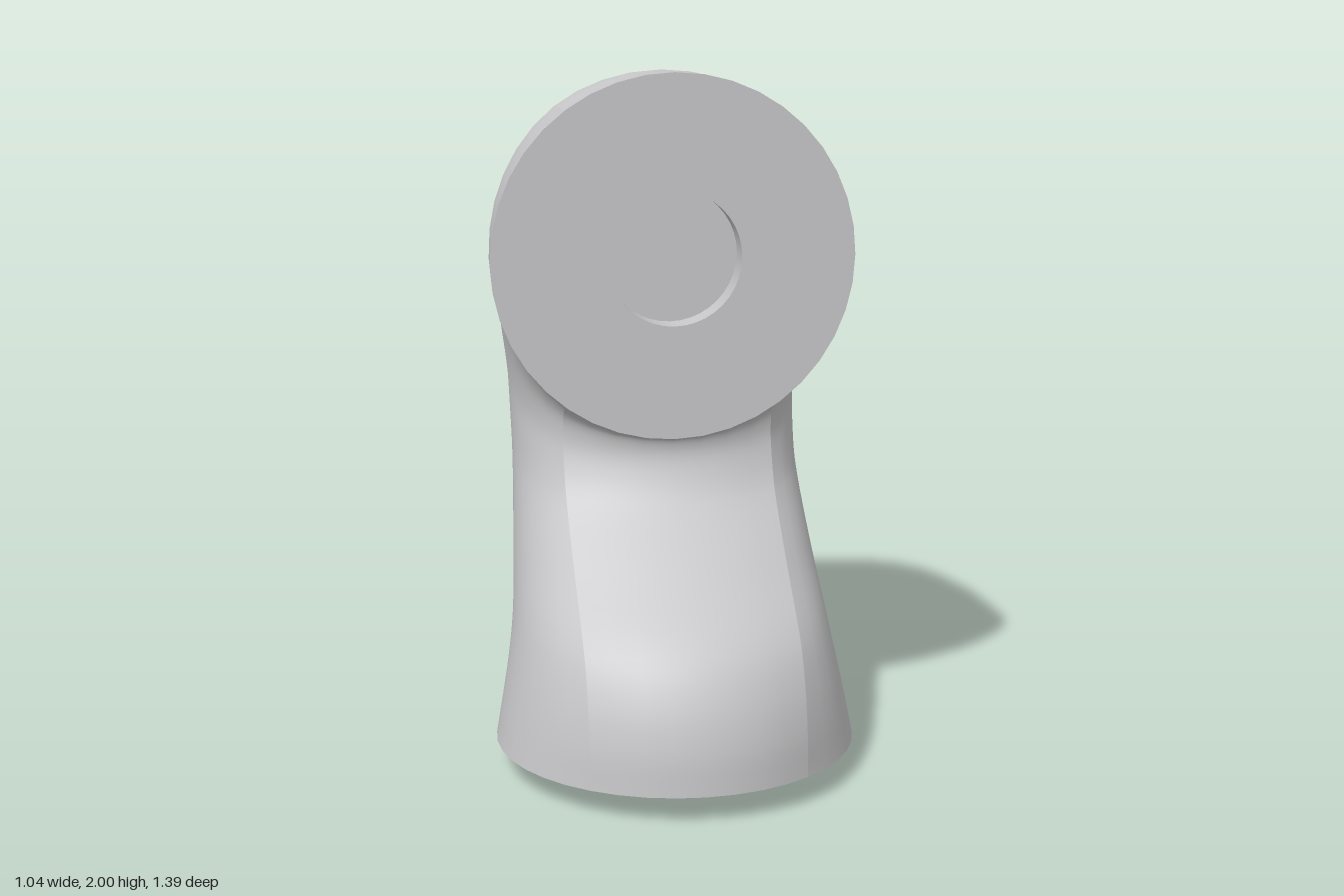
import * as THREE from 'three';

const R = 0.52, PEG = 0.193, Z = 0.18, BASE = 0.08, HEAD = 1.48;

// Stations along the bend: half width, outer (back) z, y, inner (front) z, y
const STATIONS = [
  [0.52, -0.34, 0.08, 0.70, 0.08],
  [0.495, -0.358, 0.22, 0.69, 0.20],
  [0.475, -0.38, 0.31, 0.656, 0.32],
  [0.457, -0.415, 0.42, 0.587, 0.435],
  [0.44, -0.485, 0.60, 0.386, 0.605],
  [0.425, -0.58, 0.86, 0.20, 0.774],
  [0.425, -0.635, 1.04, 0.153, 0.853],
  [0.43, -0.682, 1.25, 0.138, 0.91],
  [0.452, -0.675, 1.55, 0.146, 0.948],
  [0.475, -0.51, 1.81, 0.16, 0.957],
  [0.504, -0.2, 1.965, 0.17, 0.96],
  [0.52, Z, 2.0, Z, 0.96],
];

const outer = new THREE.CatmullRomCurve3(STATIONS.map(([w, z, y]) => new THREE.Vector3(w, y, z)));
const inner = new THREE.CatmullRomCurve3(STATIONS.map((s) => new THREE.Vector3(0, s[4], s[3])));

// Section half width: a circular band front and back, flattened flanks
const SEAM = Math.sin(Math.PI / 5);
function sideways(theta, width) {
  const s = Math.sin(theta), a = Math.abs(s);
  if (a <= SEAM + 1e-6) return R * s;
  return Math.sign(s) * (R * SEAM + (width - R * SEAM) * (a - SEAM) / (1 - SEAM));
}

// One lengthwise strip of the bent body, between two angles in degrees
function strip(from, to) {
  const rows = 55, cols = (to - from) / 9;
  const positions = [], index = [];
  for (let i = 0; i <= rows; i++) {
    const o = outer.getPoint(i / rows), n = inner.getPoint(i / rows);
    for (let j = 0; j <= cols; j++) {
      const theta = THREE.MathUtils.degToRad(from + (to - from) * j / cols);
      const k = (1 + Math.cos(theta)) / 2;
      positions.push(
        sideways(theta, o.x),
        THREE.MathUtils.lerp(n.y, o.y, k),
        THREE.MathUtils.lerp(n.z, o.z, k),
      );
      if (i < rows && j < cols) {
        const a = i * (cols + 1) + j, b = a + cols + 1;
        index.push(a, b, a + 1, b, b + 1, a + 1);
      }
    }
  }
  const geometry = new THREE.BufferGeometry();
  geometry.setAttribute('position', new THREE.Float32BufferAttribute(positions, 3));
  geometry.setIndex(index);
  geometry.computeVertexNormals();
  return geometry;
}

export function createModel() {
  const group = new THREE.Group();
  group.name = 'bentConnector';
  const grey = new THREE.MeshStandardMaterial({ color: 0xc8c8ca, side: THREE.DoubleSide });
  grey.name = 'light grey';

  function add(name, geometry, x = 0, y = 0, z = 0) {
    const mesh = new THREE.Mesh(geometry, grey);
    mesh.name = name;
    mesh.position.set(x, y, z);
    group.add(mesh);
    return mesh;
  }

  // Curved body, split at its lengthwise creases
  add('bodyBack', strip(-36, 36));
  add('bodyLeft', strip(36, 144));
  add('bodyFront', strip(144, 216));
  add('bodyRight', strip(216, 324));

  // Underside with its round peg
  add('baseFace', new THREE.CircleGeometry(R, 40), 0, BASE, Z).rotation.x = Math.PI / 2;
  add('peg', new THREE.CylinderGeometry(PEG, PEG, BASE, 40), 0, BASE / 2, Z);

  // Front face with its round socket
  const depth = 0.08;
  add('headFace', new THREE.RingGeometry(PEG, R, 40), 0, HEAD, Z);
  add('socketWall', new THREE.CylinderGeometry(PEG, PEG, depth, 40, 1, true), 0, HEAD, Z - depth / 2)
    .rotation.x = Math.PI / 2;
  add('socketFloor', new THREE.CircleGeometry(PEG, 40), 0, HEAD, Z - depth);
  return group;
}
